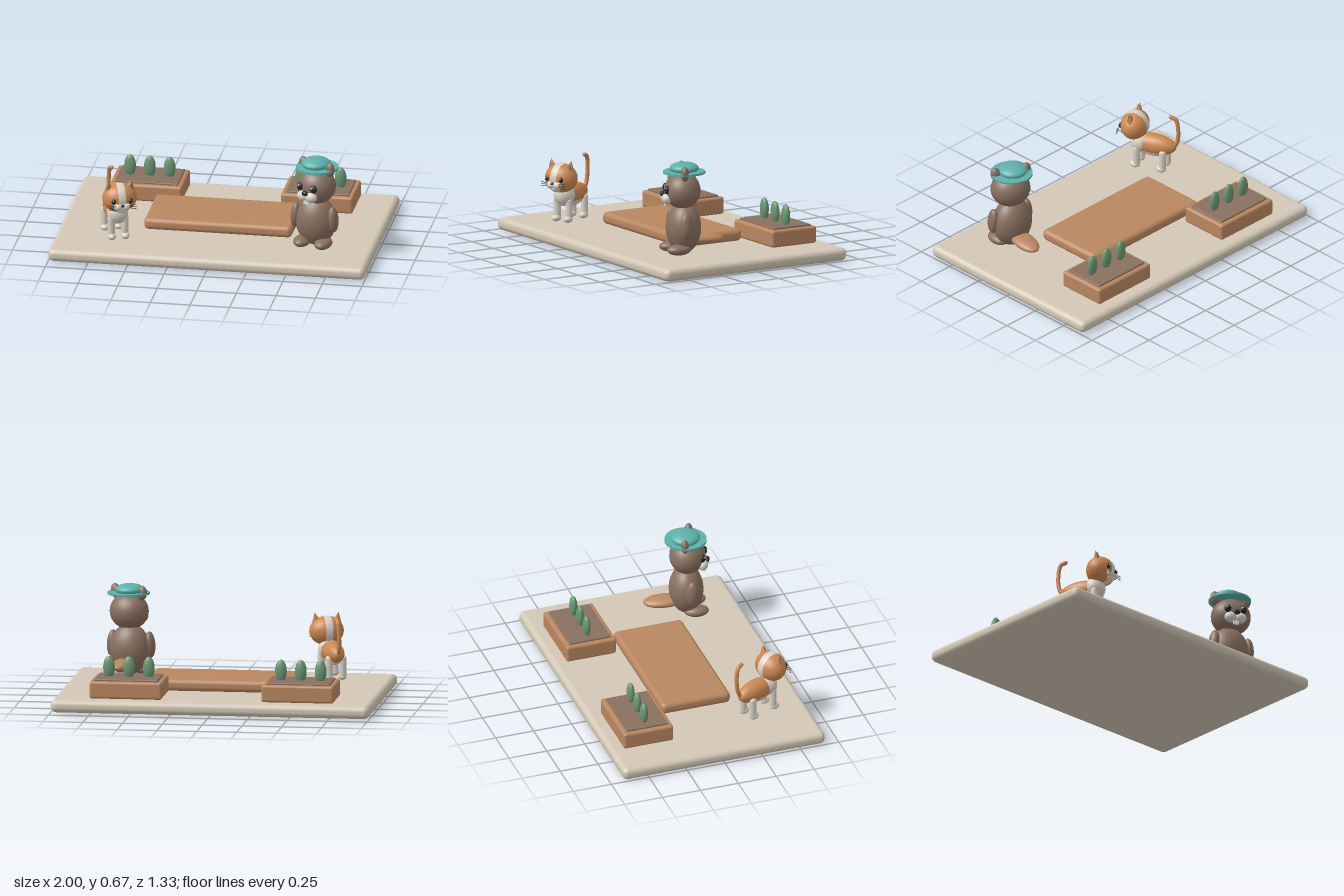
import * as THREE from 'three';
import { RoundedBoxGeometry } from 'three/addons/geometries/RoundedBoxGeometry.js';

const material = (name, color) => {
  const m = new THREE.MeshStandardMaterial({ color });
  m.name = name;
  return m;
};

export function createModel() {
  const stone = material('stone', 0xd3c7b5);
  const wood = material('wood', 0xb98760);
  const brown = material('brown fur', 0x89705f);
  const orange = material('orange fur', 0xcb8850);
  const white = material('cream fur', 0xd9d2c6);
  const dark = material('dark', 0x22252a);
  const teal = material('teal felt', 0x5cb0aa);
  const green = material('leaf green', 0x6a9673);
  const glint = material('bright white', 0xf4f2ec);

  const model = new THREE.Group();
  model.name = 'courtyardScene';

  const add = (parent, name, geometry, mat, x = 0, y = 0, z = 0) => {
    const mesh = new THREE.Mesh(geometry, mat);
    mesh.name = name;
    mesh.position.set(x, y, z);
    parent.add(mesh);
    return mesh;
  };
  const unitBall = new THREE.SphereGeometry(1, 32, 20);
  const ball = (parent, name, mat, [x, y, z], [rx, ry, rz]) => {
    const mesh = add(parent, name, unitBall, mat, x, y, z);
    mesh.scale.set(rx, ry, rz);
    return mesh;
  };
  const slab = (parent, name, mat, [w, h, d], radius, [x, y, z]) =>
    add(parent, name, new RoundedBoxGeometry(w, h, d, 4, radius), mat, x, y, z);
  const group = (name, x, y, z, yaw) => {
    const g = new THREE.Group();
    g.name = name;
    g.position.set(x, y, z);
    g.rotation.y = yaw;
    model.add(g);
    return g;
  };

  // Ground slab and low wooden deck
  slab(model, 'base', stone, [2, 0.08, 1.334], 0.035, [0, 0.04, 0]);
  slab(model, 'deck', wood, [0.935, 0.075, 0.455], 0.03, [-0.002, 0.119, -0.002]);

  // Planters with soil and three leaves each
  for (const side of [-1, 1]) {
    const planter = group('planter', side * 0.54, 0, -0.42, 0);
    slab(planter, 'planterBox', wood, [0.455, 0.108, 0.327], 0.016, [0, 0.136, 0]);
    slab(planter, 'soil', brown, [0.4, 0.025, 0.27], 0.006, [0, 0.189, 0]);
    for (const i of [-1, 0, 1]) {
      ball(planter, 'leaf', green, [i * 0.125, 0.256, 0.002], [0.037, 0.072, 0.024]);
    }
  }

  // Beaver body
  const beaver = group('beaverBody', 0.635, 0, 0.315, -0.2);
  ball(beaver, 'torso', brown, [0, 0.255, 0], [0.13, 0.16, 0.108]);
  for (const s of [-1, 1]) {
    const arm = ball(beaver, 'arm', brown, [s * 0.125, 0.284, 0.025], [0.032, 0.083, 0.041]);
    arm.rotation.z = s * 0.08;
    ball(beaver, 'foot', brown, [s * 0.07, 0.128, 0.055], [0.053, 0.034, 0.078]);
  }
  const paddle = ball(beaver, 'flatTail', wood, [0, 0.175, -0.14], [0.068, 0.034, 0.13]);
  paddle.rotation.x = -0.04;

  // Beaver head and face
  const beaverHead = group('beaverHead', 0.64, 0.492, 0.325, -0.45);
  ball(beaverHead, 'head', brown, [0, 0, 0], [0.126, 0.115, 0.113]);
  for (const s of [-1, 1]) {
    ball(beaverHead, 'ear', brown, [s * 0.099, 0.12, -0.004], [0.032, 0.047, 0.026]).rotation.z = -s * 0.15;
    ball(beaverHead, 'eye', dark, [s * 0.05, 0.012, 0.102], [0.022, 0.026, 0.017]);
    ball(beaverHead, 'eyeGlint', glint, [s * 0.05 - 0.006, 0.022, 0.117], [0.006, 0.006, 0.004]);
    ball(beaverHead, 'muzzle', white, [s * 0.03, -0.045, 0.1], [0.041, 0.034, 0.034]);
    slab(beaverHead, 'tooth', glint, [0.019, 0.03, 0.01], 0.003, [s * 0.0105, -0.083, 0.11]);
  }
  ball(beaverHead, 'nose', dark, [0, -0.019, 0.126], [0.022, 0.016, 0.014]);

  // Hat
  const hat = group('hat', 0.642, 0, 0.314, 0);
  add(hat, 'brim', new THREE.CylinderGeometry(0.132, 0.132, 0.013, 48), teal, 0, 0.608, 0);
  ball(hat, 'crown', teal, [-0.008, 0.63, -0.005], [0.092, 0.038, 0.092]);

  // Cat body and legs
  const cat = group('catBody', -0.632, 0, 0.345, 0.42);
  ball(cat, 'torso', orange, [0, 0.258, -0.01], [0.064, 0.068, 0.15]);
  ball(cat, 'chest', white, [0, 0.262, 0.075], [0.067, 0.072, 0.065]);
  ball(cat, 'belly', white, [0, 0.236, -0.01], [0.056, 0.056, 0.12]);
  for (const s of [-1, 1]) {
    for (const z of [-0.085, 0.088]) {
      add(cat, 'leg', new THREE.CapsuleGeometry(0.023, 0.1, 6, 16), white, s * 0.044, 0.178, z);
      ball(cat, 'paw', white, [s * 0.044, 0.114, z + 0.01], [0.027, 0.022, 0.033]);
    }
  }

  // Cat tail, rising in an arc behind the body
  const tailCurve = new THREE.CatmullRomCurve3([
    [-0.685, 0.24, 0.225], [-0.698, 0.31, 0.19], [-0.696, 0.41, 0.183],
    [-0.688, 0.47, 0.196], [-0.672, 0.484, 0.222],
  ].map(p => new THREE.Vector3(...p)));
  add(model, 'catTail', new THREE.TubeGeometry(tailCurve, 40, 0.013, 12), orange);
  ball(model, 'catTailTip', orange, [-0.672, 0.484, 0.222], [0.013, 0.013, 0.013]);

  // Cat head with a pale band over the crown
  const catHead = group('catHead', -0.583, 0.376, 0.447, 0.38);
  ball(catHead, 'head', orange, [0, 0, 0], [0.109, 0.092, 0.088]);
  const band = new THREE.SphereGeometry(1, 48, 6, 0, Math.PI * 2, Math.PI / 2 - 0.21, 0.42);
  band.rotateZ(Math.PI / 2);
  add(catHead, 'headStripe', band, white).scale.set(0.111, 0.094, 0.09);

  const earShape = new THREE.ConeGeometry(0.036, 0.075, 20);
  const innerEar = new THREE.ConeGeometry(0.025, 0.055, 20);
  for (const s of [-1, 1]) {
    const ear = add(catHead, 'ear', earShape, orange, s * 0.07, 0.08, 0);
    ear.scale.z = 0.6;
    ear.rotation.z = -s * 0.2;
    const inner = add(catHead, 'innerEar', innerEar, brown, s * 0.07, 0.077, 0.012);
    inner.scale.z = 0.55;
    inner.rotation.z = -s * 0.2;
    ball(catHead, 'eye', dark, [s * 0.053, 0.002, 0.077], [0.014, 0.017, 0.01]);
    ball(catHead, 'eyeGlint', glint, [s * 0.053 - 0.004, 0.008, 0.086], [0.004, 0.004, 0.003]);
    ball(catHead, 'muzzle', white, [s * 0.023, -0.036, 0.076], [0.032, 0.025, 0.024]);
    // Whiskers fan out from the muzzle
    for (const i of [-1, 0, 1]) {
      const whisker = add(catHead, 'whisker', new THREE.CylinderGeometry(0.0017, 0.0017, 0.06, 6),
        dark, s * 0.06, -0.032 + i * 0.01, 0.092);
      whisker.rotation.z = Math.PI / 2 + s * i * 0.2;
    }
  }
  ball(catHead, 'nose', dark, [0, -0.023, 0.099], [0.011, 0.008, 0.008]);
  ball(catHead, 'chin', white, [0, -0.056, 0.062], [0.034, 0.024, 0.026]);

  return model;
}
